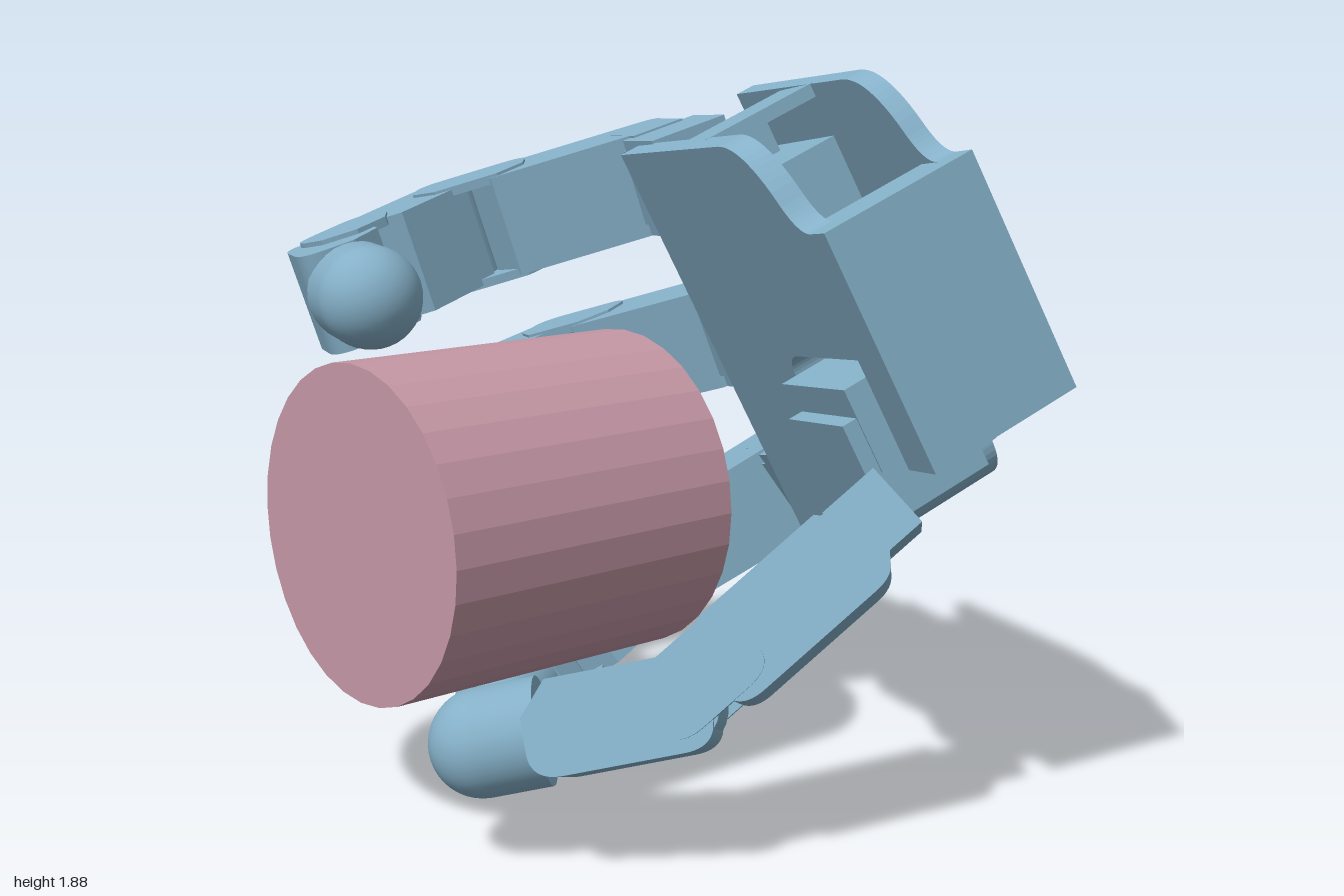
import * as THREE from 'three';

const blue = new THREE.MeshStandardMaterial({ color: 0x85b0c8 });
const pink = new THREE.MeshStandardMaterial({ color: 0xc497a5, flatShading: true });
const V = (x, y, z) => new THREE.Vector3(x, y, z);
const deg = THREE.MathUtils.degToRad;

function add(parent, name, geometry, x = 0, y = 0, z = 0, material = blue) {
  const mesh = new THREE.Mesh(geometry, material);
  mesh.name = name;
  mesh.position.set(x, y, z);
  parent.add(mesh);
  return mesh;
}
const box = (parent, name, w, h, d, x, y, z) => add(parent, name, new THREE.BoxGeometry(w, h, d), x, y, z);

function group(parent, name, x = 0, y = 0, z = 0) {
  const g = new THREE.Group();
  g.name = name;
  g.position.set(x, y, z);
  parent.add(g);
  return g;
}

const extrude = (shape, depth) =>
  new THREE.ExtrudeGeometry(shape, { depth, bevelEnabled: false, curveSegments: 12 });

// Side profile of a finger segment: rounded on its back (-y), bevelled on the palm side
function segmentShape(x0, x1) {
  const s = new THREE.Shape();
  s.moveTo(x0 + 0.07, 0.11);
  s.lineTo(x0, 0.03);
  s.lineTo(x0, -0.05);
  s.quadraticCurveTo(x0, -0.118, x0 + 0.08, -0.118);
  s.lineTo(x1 - 0.08, -0.118);
  s.quadraticCurveTo(x1, -0.118, x1, -0.05);
  s.lineTo(x1, 0.03);
  s.lineTo(x1 - 0.07, 0.11);
  s.closePath();
  return s;
}

function knuckle(parent) {
  add(parent, 'knuckle', new THREE.CylinderGeometry(0.108, 0.108, 0.24, 24), 0, -0.005, 0).rotation.x = Math.PI / 2;
}

// Segment running along +x to the next joint
function segment(parent, name, length) {
  knuckle(parent);
  add(parent, name, extrude(segmentShape(-0.08, length - 0.1), 0.28), 0, 0, -0.14);
  // bracket around the next joint
  for (const s of [-1, 1]) {
    add(parent, name + 'Bracket', extrude(segmentShape(length * 0.55, length + 0.06), 0.025), 0, 0.01, s * 0.135 - 0.0125)
      .scale.set(1, 0.85, 1);
  }
}

// Last segment with its round tip centred at the given length
function fingertip(parent, length) {
  knuckle(parent);
  add(parent, 'tipBlock', extrude(segmentShape(-0.085, length - 0.12), 0.27), 0, 0, -0.135);
  add(parent, 'tipSleeve', new THREE.CylinderGeometry(0.133, 0.133, 0.15, 32), length - 0.075, 0, 0).rotation.z = Math.PI / 2;
  add(parent, 'tipBall', new THREE.SphereGeometry(0.133, 32, 20), length, 0, 0);
}

// Palm outline in its own plane from the given finger-side edge;
// the core layer has pockets in its edges
function palmShape(edge, core) {
  const s = new THREE.Shape();
  if (core) {
    // lower motor bay
    s.moveTo(edge, 0.44);
    s.lineTo(0.22, 0.44);
    s.lineTo(0.22, 0.35);
  } else {
    s.moveTo(edge, 0.35);
  }
  s.lineTo(0.26, 0.36);
  s.quadraticCurveTo(0.41, 0.36, 0.41, 0.48);
  // thumb notch
  s.lineTo(0.41, 0.88);
  s.quadraticCurveTo(0.41, 0.95, 0.48, 0.95);
  s.lineTo(0.81, 0.95);
  s.lineTo(0.81, 0.657);
  s.lineTo(0.94, 0.657);
  s.lineTo(0.94, 1.275);
  if (core) {
    // deep pocket at the top, upper motor bay and the finger sockets
    for (const [x, y] of [[0.79, 1.275], [0.79, 1.0], [0.42, 1.0], [0.42, 1.38], [edge, 1.38]]) s.lineTo(x, y);
    for (const v of [1.2, 0.72]) {
      for (const [x, y] of [[edge, v + 0.05], [-0.04, v + 0.05], [-0.04, v - 0.05], [edge, v - 0.05]]) s.lineTo(x, y);
    }
  } else {
    s.lineTo(0.87, 1.275);
    s.quadraticCurveTo(0.81, 1.275, 0.775, 1.36);
    s.quadraticCurveTo(0.71, 1.51, 0.59, 1.515);
    s.lineTo(edge, 1.54);
  }
  s.closePath();
  return s;
}

function buildPalm(hand) {
  const palm = group(hand, 'palm');
  add(palm, 'palmFrontPlate', extrude(palmShape(-0.05, false), 0.065), 0, 0, -0.76);
  add(palm, 'palmBackPlate', extrude(palmShape(-0.025, false), 0.055), 0, 0, -1.115);
  add(palm, 'palmCore', extrude(palmShape(0.02, true), 0.315), 0, 0, -1.065);
  // thin bar across the top between the two plates
  box(palm, 'topBar', 0.18, 0.035, 0.32, 0.33, 1.505, -0.91);
  // motors seen in the open edges
  for (const v of [1.41, 0.44]) {
    box(palm, 'edgeMotor', 0.15, 0.11, 0.22, 0.12, v, -0.9);
    box(palm, 'motorClip', 0.06, 0.15, 0.1, 0.03, v, -0.86);
  }
}

function buildFinger(hand, name, v, tilt, roll, curls) {
  const mount = group(hand, name, -0.09, v, -0.814);
  // x points out of the palm, y towards its front, z across it
  mount.quaternion.setFromRotationMatrix(new THREE.Matrix4().makeBasis(V(-1, 0, 0), V(0, 0, 1), V(0, 1, 0)));
  mount.rotateY(deg(tilt));
  mount.rotateX(deg(roll));
  box(mount, 'fingerMotor', 0.2, 0.22, 0.27, -0.03, -0.03, 0);
  box(mount, 'fingerRoot', 0.14, 0.2, 0.21, 0.1, -0.02, 0);
  for (const s of [-1, 1]) box(mount, 'rootBracket', 0.17, 0.15, 0.025, 0.13, -0.02, s * 0.128);
  const lengths = [0.578, 0.411, 0.286];
  let joint = mount, x = 0.175;
  curls.forEach((curl, i) => {
    joint = group(joint, 'joint' + (i + 1), x, 0, 0);
    joint.rotation.z = deg(curl);
    if (i < 2) segment(joint, i ? 'middleSegment' : 'lowerSegment', lengths[i]);
    else fingertip(joint, lengths[i]);
    x = lengths[i];
  });
}

function buildThumb(root, hand) {
  // motor and carrier in the palm notch
  const carrier = group(hand, 'thumbCarrier');
  add(carrier, 'thumbMotor', new THREE.CylinderGeometry(0.155, 0.155, 0.36, 28), 0.61, 0.755, -0.91).rotation.z = Math.PI / 2;
  box(carrier, 'thumbMotorBlock', 0.35, 0.22, 0.36, 0.615, 0.79, -0.82);
  box(carrier, 'thumbBase', 0.3, 0.27, 0.3, 0.635, 0.69, -0.75);

  const knee = V(0.475, 0.425, 0.36), start = V(0.67, 0.76, 0.01), tip = V(0.155, 0.325, 0.70);
  const d1 = knee.clone().sub(start), d2 = tip.clone().sub(knee);
  const length = d1.length(), tipLength = d2.length(), bend = d1.angleTo(d2);
  d1.normalize();
  const axis = d1.clone().cross(d2).normalize();
  const thumb = group(root, 'thumb', start.x, start.y, start.z);
  thumb.quaternion.setFromRotationMatrix(new THREE.Matrix4().makeBasis(d1, axis.clone().cross(d1), axis));
  box(thumb, 'thumbYoke', 0.16, 0.17, 0.2, -0.11, 0.02, 0);
  segment(thumb, 'thumbSegment', length);
  const joint = group(thumb, 'thumbJoint', length, 0, 0);
  joint.rotation.z = bend;
  fingertip(joint, tipLength);
}

export function createModel() {
  const root = new THREE.Group();
  root.name = 'robotHandWithCylinder';

  // hand frame: x towards the wrist, y across the palm, z out of the palm front
  const hand = group(root, 'hand');
  const wrist = V(0.935, 0.12, 0.335).normalize();
  const front = wrist.clone().cross(V(-0.25, 0.9, 0.36)).normalize();
  const across = front.clone().cross(wrist);
  hand.quaternion.setFromRotationMatrix(new THREE.Matrix4().makeBasis(wrist, across, front));

  buildPalm(hand);
  buildFinger(hand, 'upperFinger', 1.412, -5, 7.5, [66, 51, 60]);
  buildFinger(hand, 'middleFinger', 0.947, 0, 6.4, [38, 57, 22]);
  buildFinger(hand, 'lowerFinger', 0.482, 5, -7.2, [60, 43, 36]);
  buildThumb(root, hand);

  // held object
  add(root, 'heldCylinder', new THREE.CylinderGeometry(0.425, 0.425, 0.85, 32), -0.18, 0.79, 0.405, pink).rotation.x = Math.PI / 2;
  return root;
}
